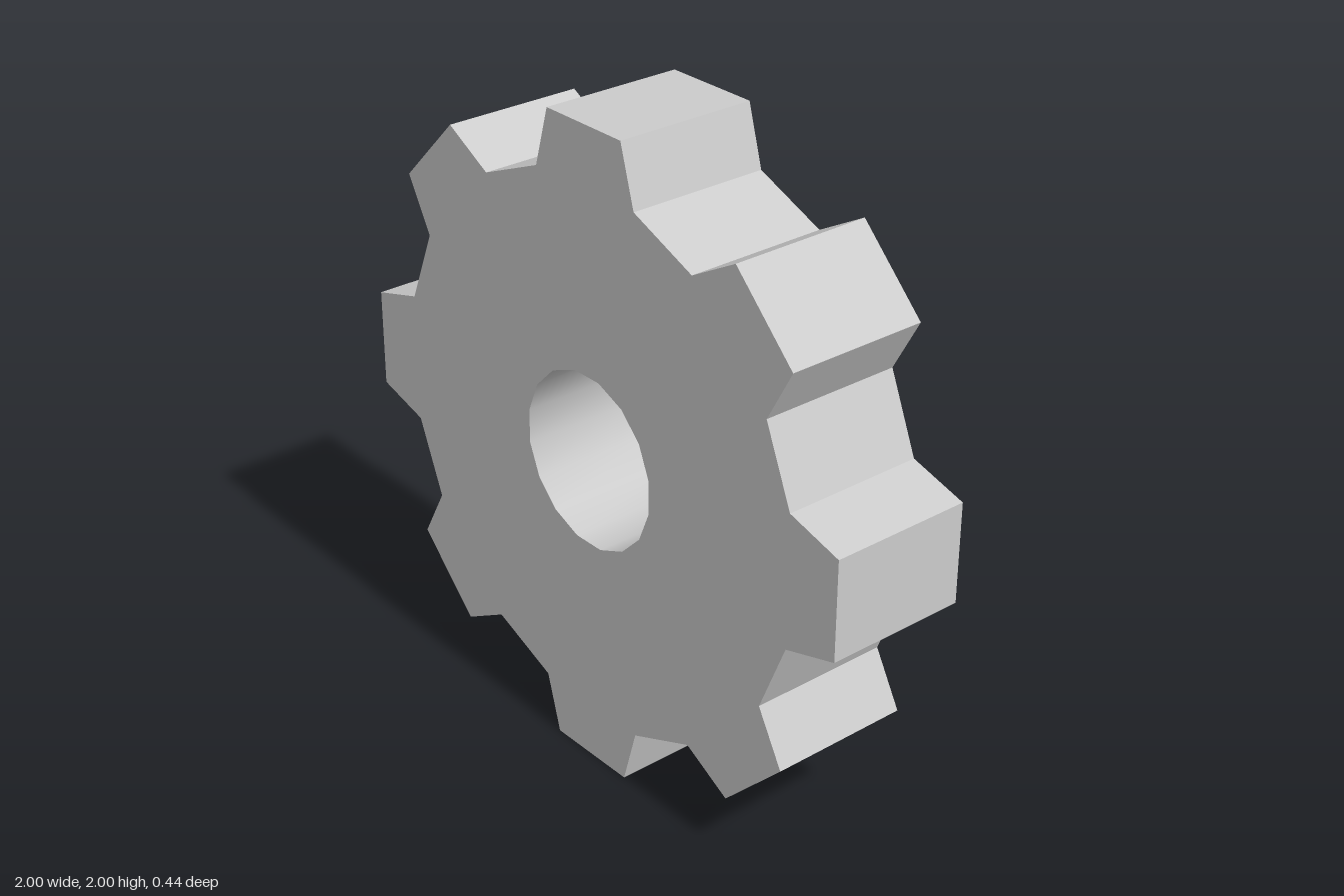
import * as THREE from 'three';
import { toCreasedNormals } from 'three/addons/utils/BufferGeometryUtils.js';

const TEETH = 8;
const HOLE_SIDES = 16;
const HOLE_RADIUS = 0.27;
const THICKNESS = 0.44;

// One tooth pointing up: root, tip, tip, root (counter-clockwise)
const TOOTH = [[0.205, 0.82], [0.153, 1], [-0.153, 1], [-0.205, 0.82]];

export function createModel() {
  const group = new THREE.Group();
  group.name = 'gear';

  // Toothed outline
  const centre = new THREE.Vector2();
  const outline = [];
  for (let i = 0; i < TEETH; i++) {
    const angle = (i / TEETH) * Math.PI * 2;
    for (const [x, y] of TOOTH) {
      outline.push(new THREE.Vector2(x, y).rotateAround(centre, angle));
    }
  }
  const shape = new THREE.Shape(outline);

  // Axle hole, with flats at top, bottom and sides
  const hole = [];
  for (let i = 0; i < HOLE_SIDES; i++) {
    const a = -((i + 0.5) / HOLE_SIDES) * Math.PI * 2;
    hole.push(new THREE.Vector2(Math.cos(a), Math.sin(a)).multiplyScalar(HOLE_RADIUS));
  }
  shape.holes.push(new THREE.Path(hole));

  // Sharp teeth, smooth bore
  const extruded = new THREE.ExtrudeGeometry(shape, { depth: THICKNESS, bevelEnabled: false });
  extruded.translate(0, 1, -THICKNESS / 2);
  const geometry = toCreasedNormals(extruded, 0.5);

  const wheel = new THREE.Mesh(geometry, new THREE.MeshStandardMaterial({ color: 0xcccccc }));
  wheel.name = 'gearWheel';
  group.add(wheel);
  return group;
}
